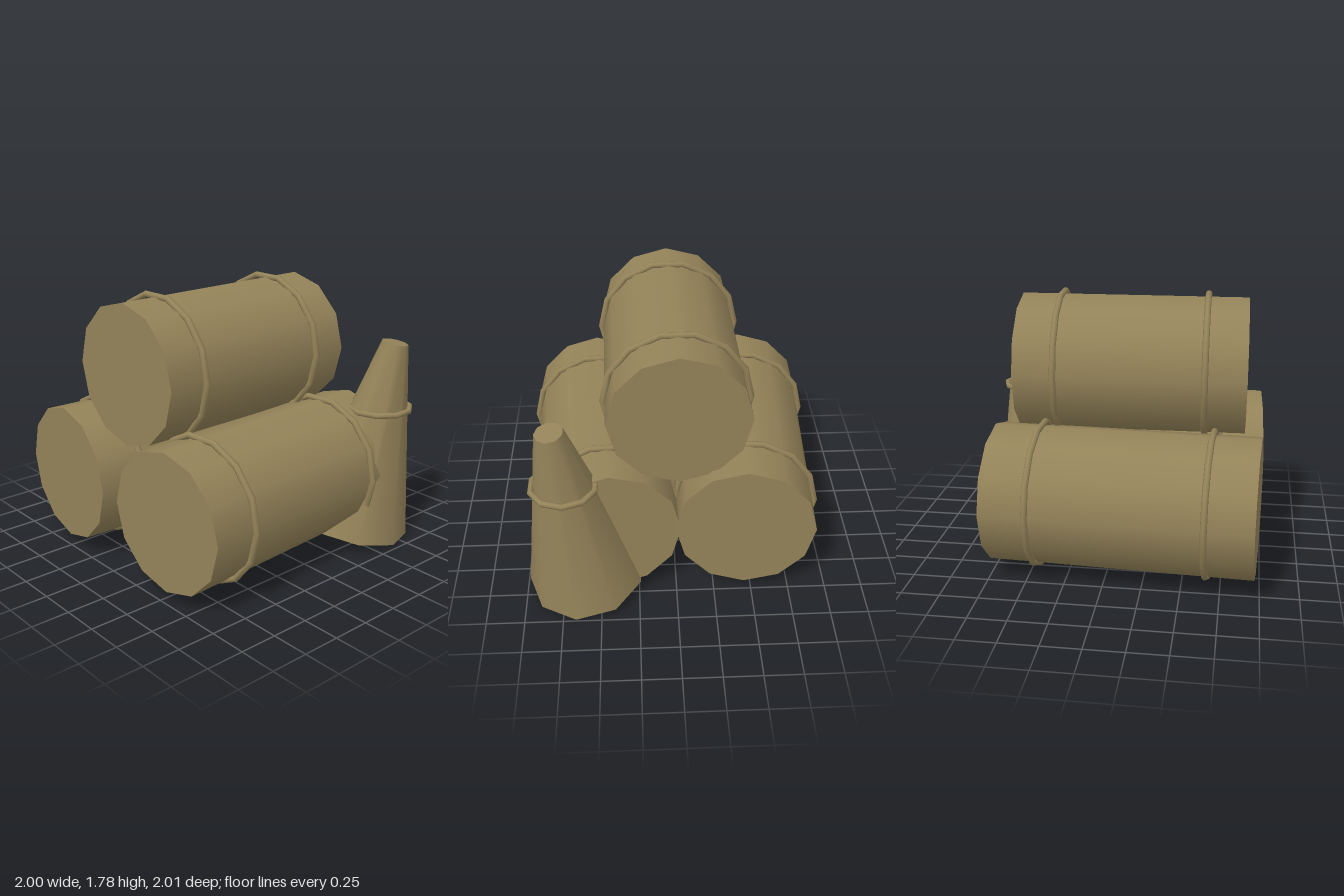
import * as THREE from 'three';

const tan = new THREE.MeshStandardMaterial({ color: 0x948359 });
tan.name = 'weathered tan';

function part(name, geometry) {
  const mesh = new THREE.Mesh(geometry, tan);
  mesh.name = name;
  return mesh;
}

// Barrel lying along x, with a hoop near each end
function barrel(name, length, position, turn) {
  const group = new THREE.Group();
  group.name = name;
  group.add(part('barrelBody', new THREE.CylinderGeometry(0.457, 0.457, length, 12).rotateZ(Math.PI / 2)));
  for (const side of [-1, 1]) {
    const hoop = part('barrelHoop', new THREE.TorusGeometry(0.47, 0.021, 8, 14).rotateY(Math.PI / 2));
    hoop.position.x = side * length * 0.322;
    group.add(hoop);
  }
  group.position.set(...position);
  group.rotation.y = turn;
  return group;
}

export function createModel() {
  const model = new THREE.Group();
  model.name = 'barrelStack';

  // Two barrels below, one resting on top
  model.add(
    barrel('frontBarrel', 1.715, [-0.118, 0.515, 0.477], 0.06),
    barrel('backBarrel', 1.715, [-0.12, 0.515, -0.495], -0.0525),
    barrel('topBarrel', 1.49, [-0.118, 1.296, -0.008], 0.02)
  );

  // Leaning cone in front of the right end
  const base = new THREE.Vector3(0.62, 0.068, 0.602);
  const tip = new THREE.Vector3(0.8, 1.37, 0.76);
  const axis = tip.clone().sub(base);
  const cone = part('cone', new THREE.CylinderGeometry(0.09, 0.388, axis.length(), 9));
  cone.position.copy(base).lerp(tip, 0.5);
  cone.quaternion.setFromUnitVectors(new THREE.Vector3(0, 1, 0), axis.normalize());
  model.add(cone);

  // Level ring around the cone
  const ring = part('coneRing', new THREE.TorusGeometry(0.207, 0.02, 8, 10).rotateX(Math.PI / 2));
  ring.position.set(0.738, 0.92, 0.706);
  model.add(ring);

  return model;
}
